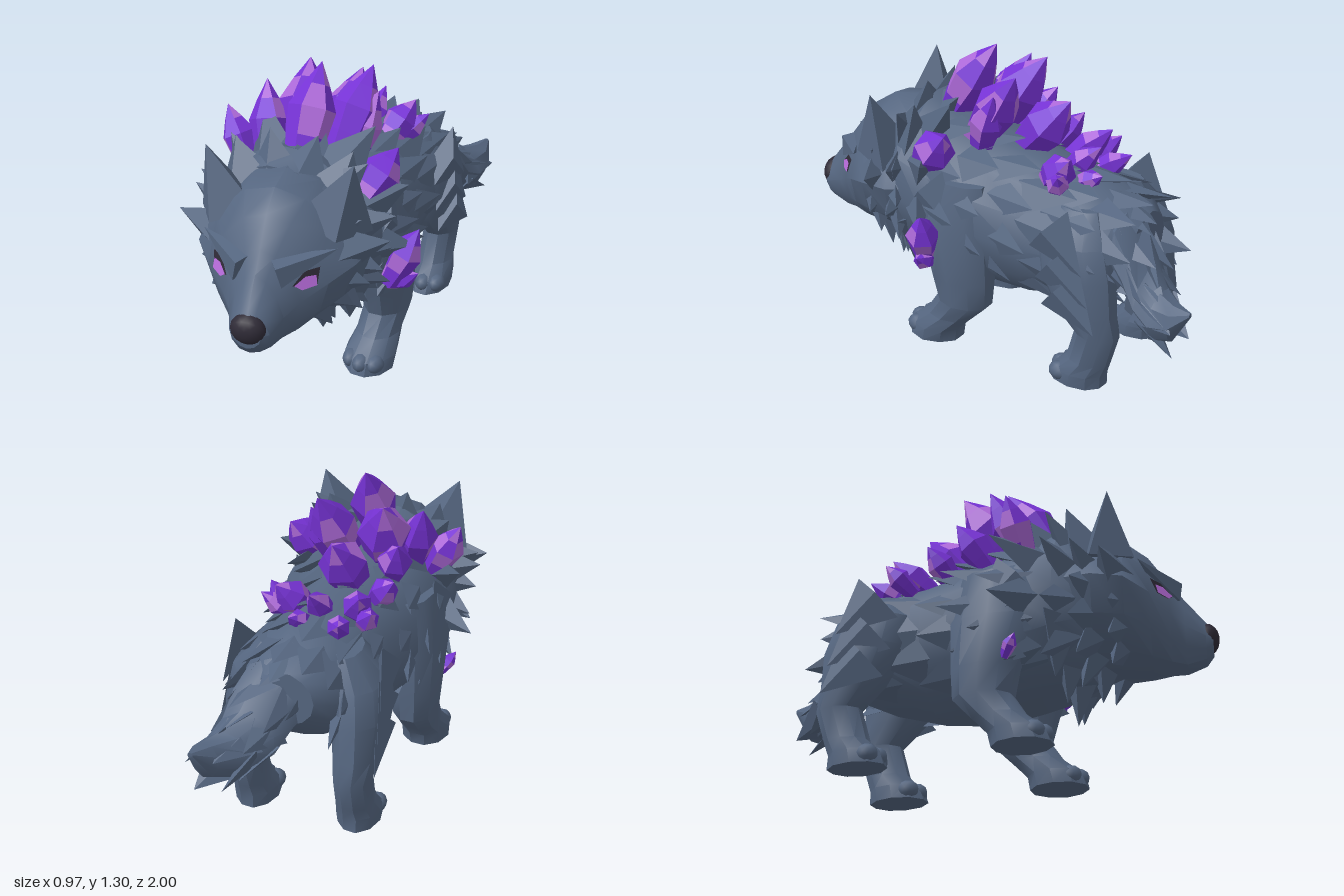
import * as THREE from 'three';
import { mergeGeometries, toCreasedNormals } from 'three/addons/utils/BufferGeometryUtils.js';

const V = (x, y, z) => new THREE.Vector3(x, y, z);

export function createModel() {
  const mat = (name, color, side = THREE.FrontSide) => {
    const m = new THREE.MeshStandardMaterial({ color, side });
    m.name = name;
    return m;
  };
  const fur = mat('slate fur', 0x556680);
  const violet = mat('violet crystal', 0x7733d6);
  const lilac = mat('lilac crystal', 0xae6ada);
  const dark = mat('nose and eye rim', 0x2e2a36, THREE.DoubleSide);
  const iris = mat('eye glow', 0xb86cdc, THREE.DoubleSide);

  let seed = 11;
  const rnd = () => (seed = (seed * 16807) % 2147483647) / 2147483647;
  const jit = (s) => (rnd() - 0.5) * 2 * s;
  const model = new THREE.Group();
  model.name = 'crystalWolf';
  const add = (parent, name, geo, material) => {
    const m = new THREE.Mesh(geo, material);
    m.name = name;
    parent.add(m);
    return m;
  };

  // Skin over elliptical rings [cx, cy, cz, r1, r2], listed along increasing axis; taper narrows the top
  const loft = (rings, axis, n = 12, rough = 0.03, taper = 0) => {
    const pos = [], idx = [];
    for (const [cx, cy, cz, r1, r2] of rings) {
      for (let i = 0; i < n; i++) {
        const a = (i / n) * Math.PI * 2, k = 1 + jit(rough);
        const c = Math.cos(a) * r1 * k * (1 - taper * Math.max(0, Math.sin(a)));
        const s = Math.sin(a) * r2 * k;
        if (axis === 'z') pos.push(cx + c, cy + s, cz);
        else pos.push(cx + c, cy, cz - s);
      }
    }
    const last = rings.length - 1, c0 = rings.length * n;
    pos.push(...rings[0].slice(0, 3), ...rings[last].slice(0, 3));
    for (let i = 0; i < n; i++) {
      const j = (i + 1) % n;
      for (let r = 0; r < last; r++) {
        const a = r * n + i, b = r * n + j;
        idx.push(a, b, b + n, a, b + n, a + n);
      }
      idx.push(c0, j, i, c0 + 1, last * n + i, last * n + j);
    }
    const g = new THREE.BufferGeometry();
    g.setAttribute('position', new THREE.Float32BufferAttribute(pos, 3));
    g.setIndex(idx);
    return toCreasedNormals(g, 0.6);
  };

  // Broad flattened lock of fur, rooted below the skin
  const tuft = (base, dir, normal, len, width, flat = 0.4) => {
    const g = new THREE.ConeGeometry(width, len, 4, 1);
    g.scale(1, 1, flat).translate(0, len * 0.2, 0);
    const y = dir.clone().normalize();
    const x = y.clone().cross(normal).normalize();
    const z = x.clone().cross(y);
    g.applyMatrix4(new THREE.Matrix4().makeBasis(x, y, z).setPosition(base));
    return toCreasedNormals(g, 0.3);
  };

  // Body
  const bodyRings = [
    [0.02, 0.63, -0.66, 0.13, 0.12], [0.02, 0.61, -0.58, 0.22, 0.19], [0.02, 0.59, -0.42, 0.28, 0.26],
    [0.02, 0.57, -0.2, 0.29, 0.31], [0, 0.58, 0.05, 0.34, 0.34], [0, 0.62, 0.25, 0.36, 0.36],
    [0, 0.66, 0.4, 0.35, 0.37], [0, 0.67, 0.5, 0.3, 0.33]];
  add(model, 'body', loft(bodyRings, 'z', 14), fur);

  // Coat of back-swept locks over the body
  const skin = (z, a) => {
    let i = 0;
    while (i < bodyRings.length - 2 && bodyRings[i + 1][2] < z) i++;
    const p = bodyRings[i], q = bodyRings[i + 1], t = (z - p[2]) / (q[2] - p[2]);
    const m = (k) => p[k] + (q[k] - p[k]) * t;
    return V(m(0) + m(3) * Math.cos(a), m(1) + m(4) * Math.sin(a), z);
  };
  const coat = [];
  for (let row = 0; row < 6; row++) {
    const z = -0.52 + row * 0.155;
    for (let i = 0; i < 9; i++) {
      const a = -0.75 + ((i + (row % 2) * 0.5) / 8.5) * (Math.PI + 1.5) + jit(0.08);
      const n = V(Math.cos(a), Math.sin(a), 0);
      const p = skin(z + jit(0.03), a).addScaledVector(n, -0.03);
      const lift = 0.22 + row * 0.035 + jit(0.08);
      coat.push(tuft(p, V(n.x * lift, n.y * lift - 0.05, -1), n, 0.27 + jit(0.04), 0.14 + jit(0.02), 0.35));
    }
  }
  add(model, 'coatTufts', mergeGeometries(coat), fur);

  // Mane collar behind the head, and the hanging chest ruff
  const mane = [];
  for (const [z, back, len, count, r] of [[0.44, -0.35, 0.26, 10, 0.27], [0.3, -0.8, 0.3, 9, 0.31]]) {
    for (let i = 0; i < count; i++) {
      const a = -0.7 + (i / (count - 1)) * (Math.PI + 1.4);
      const n = V(Math.cos(a), Math.sin(a), 0);
      const p = V(n.x * r, 0.67 + n.y * (r + 0.03), z);
      mane.push(tuft(p, V(n.x, n.y, back + jit(0.2)), V(n.x * 0.6, n.y * 0.6, 1), len + jit(0.05), 0.15, 0.6));
    }
  }
  for (const [x, y, z, l] of [[0, 0.36, 0.43, 0.28], [0.12, 0.4, 0.42, 0.26], [-0.12, 0.4, 0.42, 0.26],
    [0.23, 0.46, 0.4, 0.24], [-0.23, 0.46, 0.4, 0.24], [0.02, 0.43, 0.53, 0.24]]) {
    mane.push(tuft(V(x, y, z), V(x * 0.4, -1, -0.1), V(x, 0, 1), l, 0.15, 0.65));
  }
  add(model, 'maneAndChestRuff', mergeGeometries(mane), fur);

  // Head, turned slightly to its left
  const head = new THREE.Group();
  head.name = 'head';
  const skull = add(head, 'skullAndMuzzle', loft([
    [0, 0.7, -0.15, 0.3, 0.3], [0, 0.69, 0.05, 0.36, 0.31], [0, 0.68, 0.18, 0.33, 0.3],
    [0, 0.64, 0.28, 0.25, 0.265], [0, 0.585, 0.36, 0.165, 0.215], [0, 0.54, 0.42, 0.115, 0.17],
    [0, 0.505, 0.5, 0.085, 0.1], [0, 0.505, 0.53, 0.06, 0.06]], 'z', 12, 0.02, 0.28), fur);
  add(head, 'nose', new THREE.IcosahedronGeometry(1, 2).scale(0.074, 0.066, 0.05).translate(0, 0.522, 0.507), dark);

  const cheeks = [];
  const ray = new THREE.Raycaster();
  for (const s of [1, -1]) {
    // Cheek fur in two broad fans, with one long side point
    for (const [z, r, len] of [[0.16, 0.24, 0.2], [0.04, 0.27, 0.25]]) {
      for (let i = 0; i < 5; i++) {
        const a = -1.15 + i * 0.38 + (z > 0.1 ? 0.15 : 0);
        const n = V(s * Math.cos(a), Math.sin(a), 0);
        cheeks.push(tuft(V(n.x * r, 0.66 + n.y * r, z), V(n.x, n.y, -0.4 + jit(0.15)),
          V(n.x * 0.6, n.y * 0.6, 1), len + jit(0.03), 0.14, 0.6));
      }
    }
    cheeks.push(tuft(V(s * 0.27, 0.72, 0.14), V(s, 0.25, -0.25), V(s * 0.4, 0, 1), 0.27, 0.15, 0.7));
    // Overhanging brow ridge
    cheeks.push(tuft(V(s * 0.13, 0.735, 0.335), V(s * 0.8, 0.25, -0.5), V(s * 0.3, 0.6, 0.7), 0.26, 0.07, 0.8));
    // Ear, broad at the root, with a lock behind it
    const ear = [
      tuft(V(s * 0.245, 0.9, 0.12), V(s * 0.32, 1, 0.05), V(s * 0.45, 0, 1), 0.29, 0.165, 0.75),
      tuft(V(s * 0.2, 0.92, 0), V(s * 0.35, 1, -0.35), V(s * 0.3, 0, 1), 0.22, 0.15, 0.7)];
    add(head, s > 0 ? 'leftEar' : 'rightEar', mergeGeometries(ear), fur);
    // Slanted eye plates laid on the skull, dark lid above the glow
    ray.set(V(s * 0.17, 0.675, 2), V(0, 0, -1));
    const { point } = ray.intersectObject(skull)[0];
    const n = V(s * 0.62, 0.25, 0.75).normalize();
    const plate = (name, pts, off, m) => {
      const shape = new THREE.Shape(pts.map(([x, y]) => new THREE.Vector2(x * s, y)));
      const e = add(head, name, new THREE.ShapeGeometry(shape), m);
      e.position.copy(point).addScaledVector(n, off);
      e.lookAt(e.position.clone().add(n));
    };
    plate('eyeRim', [[-0.055, -0.015], [-0.02, -0.036], [0.045, -0.03], [0.065, 0.04], [0.0, 0.035]], 0.012, dark);
    plate('eye', [[-0.05, -0.016], [-0.02, -0.038], [0.044, -0.03], [0.045, 0.012], [0.0, 0.014]], 0.016, iris);
  }
  add(head, 'cheekFur', mergeGeometries(cheeks), fur);
  head.position.set(0.01, 0, 0.45);
  head.rotation.y = 0.17;
  model.add(head);

  // Legs [x, y, z, half width, half depth], paws first
  const front = [
    [0.275, 0, 0.25, 0.105, 0.13], [0.275, 0.06, 0.235, 0.11, 0.125], [0.275, 0.13, 0.16, 0.095, 0.115],
    [0.28, 0.22, 0.09, 0.1, 0.13], [0.28, 0.34, 0.1, 0.11, 0.15], [0.28, 0.55, 0.14, 0.11, 0.19],
    [0.25, 0.78, 0.14, 0.08, 0.15]];
  const hind = [
    [0.235, 0, -0.47, 0.09, 0.13], [0.235, 0.06, -0.48, 0.095, 0.12], [0.235, 0.12, -0.52, 0.08, 0.1],
    [0.24, 0.26, -0.56, 0.08, 0.1], [0.24, 0.36, -0.5, 0.1, 0.14], [0.235, 0.52, -0.45, 0.12, 0.18],
    [0.22, 0.66, -0.42, 0.11, 0.17], [0.17, 0.78, -0.42, 0.05, 0.1]];
  for (const s of [1, -1]) {
    for (const [name, rings, toeZ, furZ] of [['FrontLeg', front, 0.33, 0.14], ['HindLeg', hind, -0.39, -0.48]]) {
      const side = s > 0 ? 'left' : 'right';
      add(model, side + name, loft(rings.map(([x, ...r]) => [x * s, ...r]), 'y', 10), fur);
      const toes = [-1, 0, 1].map((i) => new THREE.IcosahedronGeometry(1, 1).scale(0.04, 0.042, 0.05)
        .translate(rings[0][0] * s + i * 0.055, 0.042, toeZ - Math.abs(i) * 0.02));
      add(model, side + name + 'Toes', mergeGeometries(toes), fur);
      // Shoulder and thigh fur
      const locks = [0.42, 0.54, 0.68].map((y, i) => tuft(V(s * 0.33, y, furZ + i * 0.03),
        V(s * 0.12, -0.7, -0.8), V(s, 0, 0), 0.24, 0.14, 0.35));
      add(model, side + name + 'Fur', mergeGeometries(locks), fur);
    }
  }

  // Drooping bushy tail that sweeps to its left
  const tailRings = [
    [0.27, 0.51, -1, 0.012, 0.012], [0.25, 0.44, -0.92, 0.065, 0.085], [0.2, 0.42, -0.83, 0.11, 0.11],
    [0.15, 0.46, -0.75, 0.135, 0.12], [0.12, 0.56, -0.68, 0.15, 0.13], [0.07, 0.63, -0.6, 0.16, 0.14],
    [0.02, 0.65, -0.5, 0.13, 0.13]];
  add(model, 'tail', loft(tailRings, 'z', 9, 0.06), fur);
  const tailFur = [];
  for (const [x, y, z, r1, r2] of tailRings.slice(2, 6)) {
    for (let i = 0; i < 4; i++) {
      const a = i * 1.57 + z * 5, n = V(Math.cos(a), Math.sin(a), 0);
      tailFur.push(tuft(V(x + n.x * r1 * 0.75, y + n.y * r2 * 0.75, z),
        V(0.4 + n.x * 0.1, -0.35 + n.y * 0.1, -1), n, 0.19, 0.1, 0.35));
    }
  }
  tailFur.push(tuft(V(0.04, 0.76, -0.58), V(0.1, -0.2, -1), V(0, 1, 0), 0.2, 0.12));
  add(model, 'tailTufts', mergeGeometries(tailFur), fur);

  // Six-sided crystals: base point, tip point, radius; scattered facets are lilac
  const crystal = ([b, t, r], k) => {
    const dir = V(...t).sub(V(...b)), h = dir.length();
    const prof = [[0, 0], [0.65, 0], [0.85, 0.3], [1, 0.56], [0.55, 0.78], [0, 1]]
      .map(([x, y]) => new THREE.Vector2(x * r, y * h));
    const g = new THREE.LatheGeometry(prof, 6, k).toNonIndexed();
    g.computeVertexNormals();
    for (let i = 0; i < 30; i++) g.addGroup(i * 6, 6, rnd() < 0.22 ? 1 : 0);
    const m = add(model, 'crystal', g, [violet, lilac]);
    m.position.set(...b);
    m.quaternion.setFromUnitVectors(V(0, 1, 0), dir.normalize());
  };
  [
    [[0, 0.92, 0.36], [-0.02, 1.3, 0.12], 0.1],
    [[-0.08, 0.88, 0.2], [-0.16, 1.23, -0.04], 0.115],
    [[0.07, 0.88, 0.17], [0.12, 1.24, -0.07], 0.1],
    [[-0.18, 0.83, 0.28], [-0.28, 1.17, 0.12], 0.085],
    [[-0.15, 0.85, 0.1], [-0.23, 1.07, -0.05], 0.075],
    [[0.1, 0.86, 0.12], [0.18, 1.16, 0], 0.075],
    [[-0.02, 0.84, 0.0], [-0.02, 1.13, -0.25], 0.105],
    [[-0.27, 0.81, 0.28], [-0.41, 1.07, 0.23], 0.075],
    [[0.25, 0.8, 0.31], [0.34, 1.0, 0.14], 0.09],
    [[0.35, 0.42, 0.24], [0.46, 0.67, 0.18], 0.075],
    [[0.34, 0.4, 0.22], [0.47, 0.47, 0.2], 0.045],
    [[-0.35, 0.36, 0.2], [-0.4, 0.44, 0.26], 0.03],
    [[0.1, 0.8, -0.22], [0.18, 0.97, -0.37], 0.075],
    [[-0.1, 0.8, -0.18], [-0.18, 0.97, -0.36], 0.065],
    [[0.0, 0.8, -0.23], [0.01, 0.98, -0.42], 0.055],
    [[-0.08, 0.8, -0.32], [-0.14, 0.9, -0.48], 0.05],
    [[0.12, 0.79, -0.28], [0.25, 0.92, -0.36], 0.05],
    [[-0.16, 0.8, -0.26], [-0.24, 0.92, -0.37], 0.05],
    [[0.05, 0.8, -0.32], [0.08, 0.89, -0.47], 0.045],
    [[-0.14, 0.82, -0.08], [-0.26, 0.97, -0.17], 0.06],
  ].forEach(crystal);

  return model;
}
